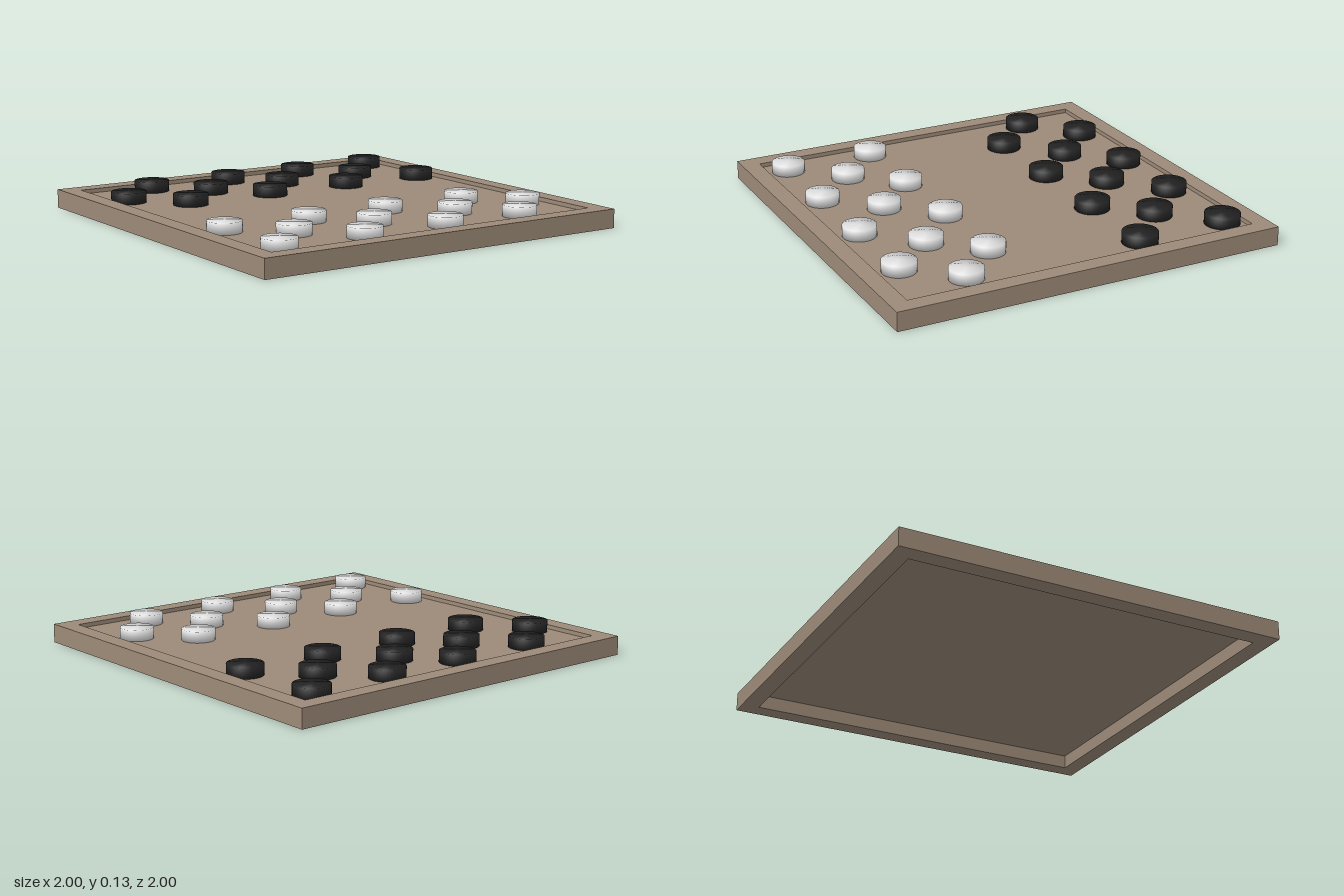
import * as THREE from 'three';
import { mergeVertices } from 'three/addons/utils/BufferGeometryUtils.js';

const material = (name, color) => {
  const m = new THREE.MeshStandardMaterial({ color });
  m.name = name;
  return m;
};

// Disc with normals shared between rim and faces, for a soft pillowed look
function discGeometry(radius, bottom, top) {
  const g = new THREE.CylinderGeometry(radius, radius, top - bottom, 40);
  g.deleteAttribute('normal');
  g.deleteAttribute('uv');
  const welded = mergeVertices(g, 1e-4);
  welded.computeVertexNormals();
  welded.translate(0, (top + bottom) / 2, 0);
  return welded;
}

function square(path, h) {
  return path.moveTo(-h, -h).lineTo(h, -h).lineTo(h, h).lineTo(-h, h).closePath();
}

export function createModel() {
  const model = new THREE.Group();
  model.name = 'draughtsBoard';
  const wood = material('wood brown', 0x9c8a78);
  const black = material('black', 0x222222);
  const white = material('white', 0xdedede);

  const height = 0.095, inner = 0.91, bedTop = 0.074;

  // Square frame, open through the middle
  const outline = square(new THREE.Shape(), 1);
  outline.holes.push(square(new THREE.Path(), inner));
  const frameGeo = new THREE.ExtrudeGeometry(outline, { depth: height, bevelEnabled: false });
  frameGeo.rotateX(-Math.PI / 2);
  const frame = new THREE.Mesh(frameGeo, wood);
  frame.name = 'frame';
  model.add(frame);

  // Thin playing bed, set slightly below the frame top and hollow beneath
  const bed = new THREE.Mesh(new THREE.BoxGeometry(inner * 2, 0.004, inner * 2), wood);
  bed.name = 'playingBed';
  bed.position.y = bedTop - 0.002;
  model.add(bed);

  // Pieces, as [x, z] positions
  const addPieces = (name, radius, mat, spots) => {
    const group = new THREE.Group();
    group.name = name + 's';
    const geo = discGeometry(radius, bedTop, 0.13);
    spots.forEach(([x, z], i) => {
      const piece = new THREE.Mesh(geo, mat);
      piece.name = name + (i + 1);
      piece.position.set(x, 0, z);
      group.add(piece);
    });
    model.add(group);
  };

  addPieces('blackPiece', 0.088, black, [
    [-0.56, -0.8], [-0.1, -0.8], [0.34, -0.8], [0.795, -0.815],
    [-0.81, -0.58], [-0.335, -0.58], [0.1, -0.58], [0.565, -0.575],
    [-0.585, -0.35], [-0.12, -0.35], [0.35, -0.35], [0.805, -0.345],
  ]);
  addPieces('whitePiece', 0.084, white, [
    [-0.8, 0.335], [-0.34, 0.34], [0.11, 0.335], [0.575, 0.34],
    [-0.565, 0.56], [-0.115, 0.56], [0.365, 0.56], [0.79, 0.56],
    [-0.795, 0.795], [-0.335, 0.795], [0.125, 0.795], [0.575, 0.795],
  ]);

  return model;
}
